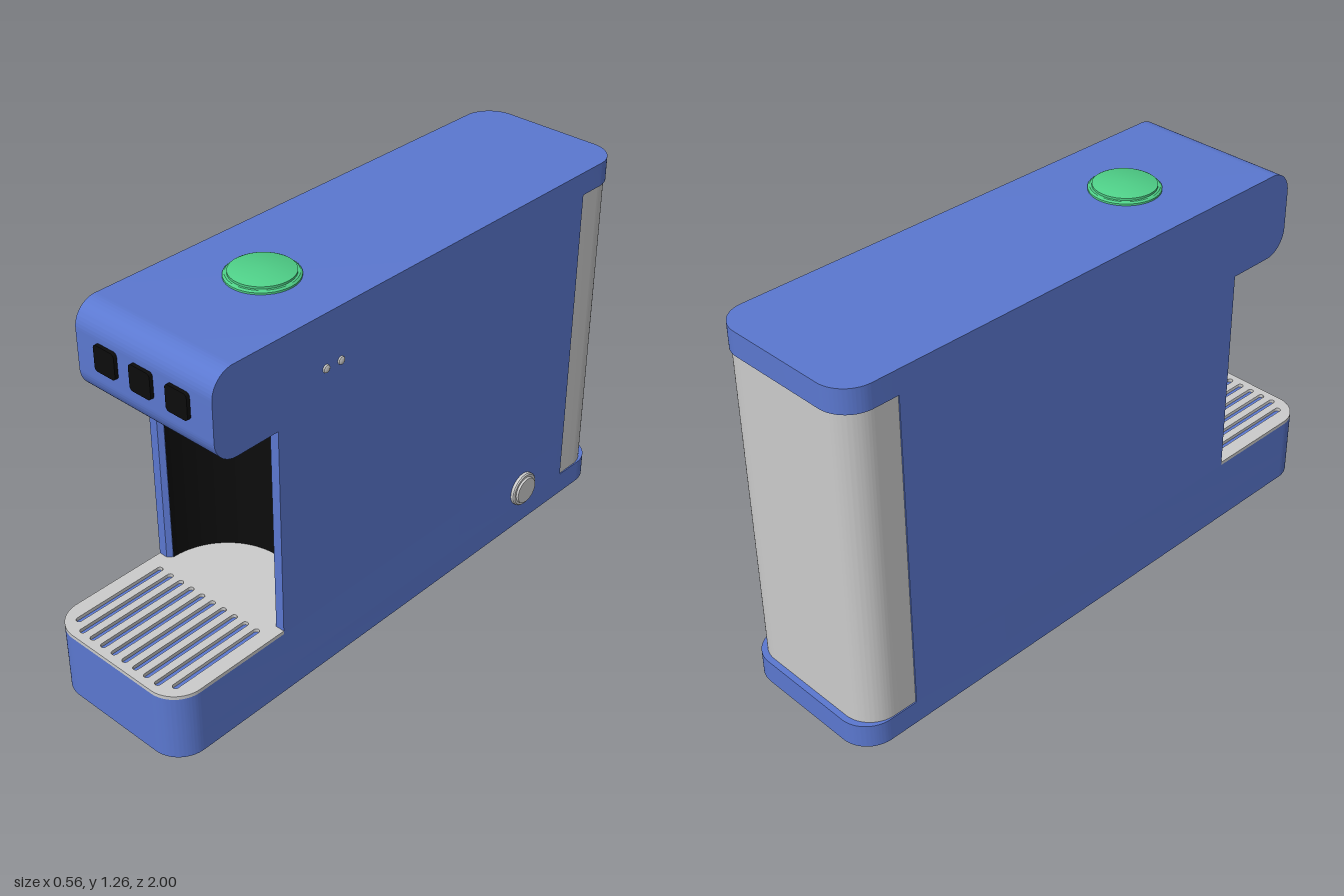
import * as THREE from 'three';
import { toCreasedNormals } from 'three/addons/utils/BufferGeometryUtils.js';

const paint = (color, side = THREE.FrontSide) => new THREE.MeshStandardMaterial({ color, side });
const W = 0.2715; // half width of the housing
const NICHE = { r: 0.2265, z: 0.55, front: 0.565 };

// Plan shapes are drawn in (x, -z), so +y in a shape points to the back.
function plan(halfW, front, back, rFront, rBack) {
  const s = new THREE.Shape();
  s.moveTo(-halfW + rFront, -front);
  s.lineTo(halfW - rFront, -front);
  if (rFront) s.absarc(halfW - rFront, -front + rFront, rFront, -Math.PI / 2, 0, false);
  s.lineTo(halfW, -back - rBack);
  if (rBack) s.absarc(halfW - rBack, -back - rBack, rBack, 0, Math.PI / 2, false);
  s.lineTo(-halfW + rBack, -back);
  if (rBack) s.absarc(-halfW + rBack, -back - rBack, rBack, Math.PI / 2, Math.PI, false);
  s.lineTo(-halfW, -front + rFront);
  if (rFront) s.absarc(-halfW + rFront, -front + rFront, rFront, Math.PI, Math.PI * 1.5, false);
  return s;
}

// Outline of the curved recess, from its left edge to its right edge
function recess(s) {
  s.lineTo(-0.24, -NICHE.front);
  s.lineTo(-NICHE.r, -NICHE.z);
  s.absarc(0, -NICHE.z, NICHE.r, Math.PI, 0, true);
  s.lineTo(0.24, -NICHE.front);
  s.lineTo(W, -NICHE.front);
}

function extrude(shape, depth) {
  const g = new THREE.ExtrudeGeometry(shape, { depth, bevelEnabled: false, curveSegments: 24 });
  return toCreasedNormals(g, 0.5);
}

function slab(shape, y0, y1) {
  return extrude(shape, y1 - y0).rotateX(-Math.PI / 2).translate(0, y0, 0);
}

function roundedRect(w, h, r) {
  return plan(w / 2, h / 2, -h / 2, r, r);
}

// Turned part from (radius, height) pairs
function turned(points) {
  const g = new THREE.LatheGeometry(points.map(([r, y]) => new THREE.Vector2(r, y)), 40);
  return toCreasedNormals(g, 0.5);
}

export function createModel() {
  const model = new THREE.Group();
  model.name = 'coffeeMachine';
  model.position.x = -0.0115;
  const blue = paint(0x5b78d0), grey = paint(0xcccccc), green = paint(0x4fd088);
  const black = paint(0x0c0c0c, THREE.DoubleSide);
  const add = (name, geometry, material) => {
    const m = new THREE.Mesh(geometry, material);
    m.name = name;
    model.add(m);
    return m;
  };

  // Base: foot plate under everything, then the drip tray block
  add('footPlate', slab(plan(W, 1, -1, 0.1, 0.1), 0, 0.08), blue);
  add('baseBlock', slab(plan(W, 1, -0.8, 0.1, 0), 0.08, 0.225), blue);

  // Main body with the curved recess cut in the front
  const body = new THREE.Shape();
  body.moveTo(-W, -NICHE.front);
  recess(body);
  body.lineTo(W, 0.8);
  body.lineTo(-W, 0.8);
  add('body', slab(body, 0.225, 0.95), blue);

  // Dark lining of the recess
  const lining = new THREE.CylinderGeometry(0.225, 0.225, 0.713, 32, 1, true, Math.PI / 2, Math.PI);
  add('recessLining', lining.translate(0, 0.5935, NICHE.z), black);

  // Head: side profile drawn in (-z, y), extruded across the width
  const head = new THREE.Shape();
  const r = 0.08;
  head.moveTo(-0.8 + r, 0.95);
  head.lineTo(0.8, 0.95);
  head.lineTo(0.8, 1.24);
  head.lineTo(-0.8 + r, 1.24);
  head.absarc(-0.8 + r, 1.24 - r, r, Math.PI / 2, Math.PI, false);
  head.absarc(-0.8 + r, 0.95 + r, r, Math.PI, Math.PI * 1.5, false);
  add('head', extrude(head, 2 * W).rotateY(Math.PI / 2).translate(-W, 0, 0), blue);
  add('rearCap', slab(plan(W, -0.8, -0.985, 0, 0.1), 1.16, 1.24), blue);

  // Water tank at the back
  add('waterTank', slab(plan(W - 0.004, -0.8, -0.98, 0, 0.1), 0.08, 1.16), grey);

  // Slotted drip grate reaching into the recess
  const grate = new THREE.Shape();
  const c = 0.1;
  grate.moveTo(-W, -NICHE.front);
  recess(grate);
  grate.lineTo(W, -1 + c);
  grate.absarc(W - c, -1 + c, c, 0, -Math.PI / 2, true);
  grate.absarc(-W + c, -1 + c, c, -Math.PI / 2, -Math.PI, true);
  for (let i = 0; i < 10; i++) {
    const x = (i - 4.5) * 0.047, h = 0.01;
    const front = Math.abs(x) > 0.2 ? 0.95 : 0.975, back = 0.61;
    const slot = new THREE.Path();
    slot.absarc(x, -back - h, h, 0, Math.PI, false);
    slot.absarc(x, -front + h, h, Math.PI, Math.PI * 2, false);
    slot.closePath();
    grate.holes.push(slot);
  }
  add('dripGrate', slab(grate, 0.225, 0.237), grey);

  // Three square front buttons
  for (const x of [-0.144, 0, 0.144]) {
    add('frontButton', extrude(roundedRect(0.085, 0.085, 0.012), 0.03).translate(x, 1.108, 0.782), black);
  }

  // Round top button with a stepped rim
  add('topButton', turned([[0, 0.022], [0.092, 0.022], [0.1, 0.018], [0.1, 0.011], [0.107, 0.011],
    [0.113, 0.006], [0.113, 0]].reverse()), green).position.set(-0.004, 1.24, 0.34);

  // Side knob and two small pins on the model's left
  const sideParts = [
    ['sideKnob', 0.14, -0.58, [[0.06, 0], [0.06, 0.01], [0.056, 0.014], [0.048, 0.014], [0.046, 0.021], [0, 0.021]]],
    ['sidePin', 1.065, 0.375, [[0.013, 0], [0.012, 0.005], [0.007, 0.008], [0, 0.009]]],
    ['sidePin', 1.065, 0.315, [[0.013, 0], [0.012, 0.005], [0.007, 0.008], [0, 0.009]]],
  ];
  for (const [name, y, z, points] of sideParts) {
    const part = add(name, turned(points), grey);
    part.rotation.z = -Math.PI / 2;
    part.position.set(W, y, z);
  }
  return model;
}
